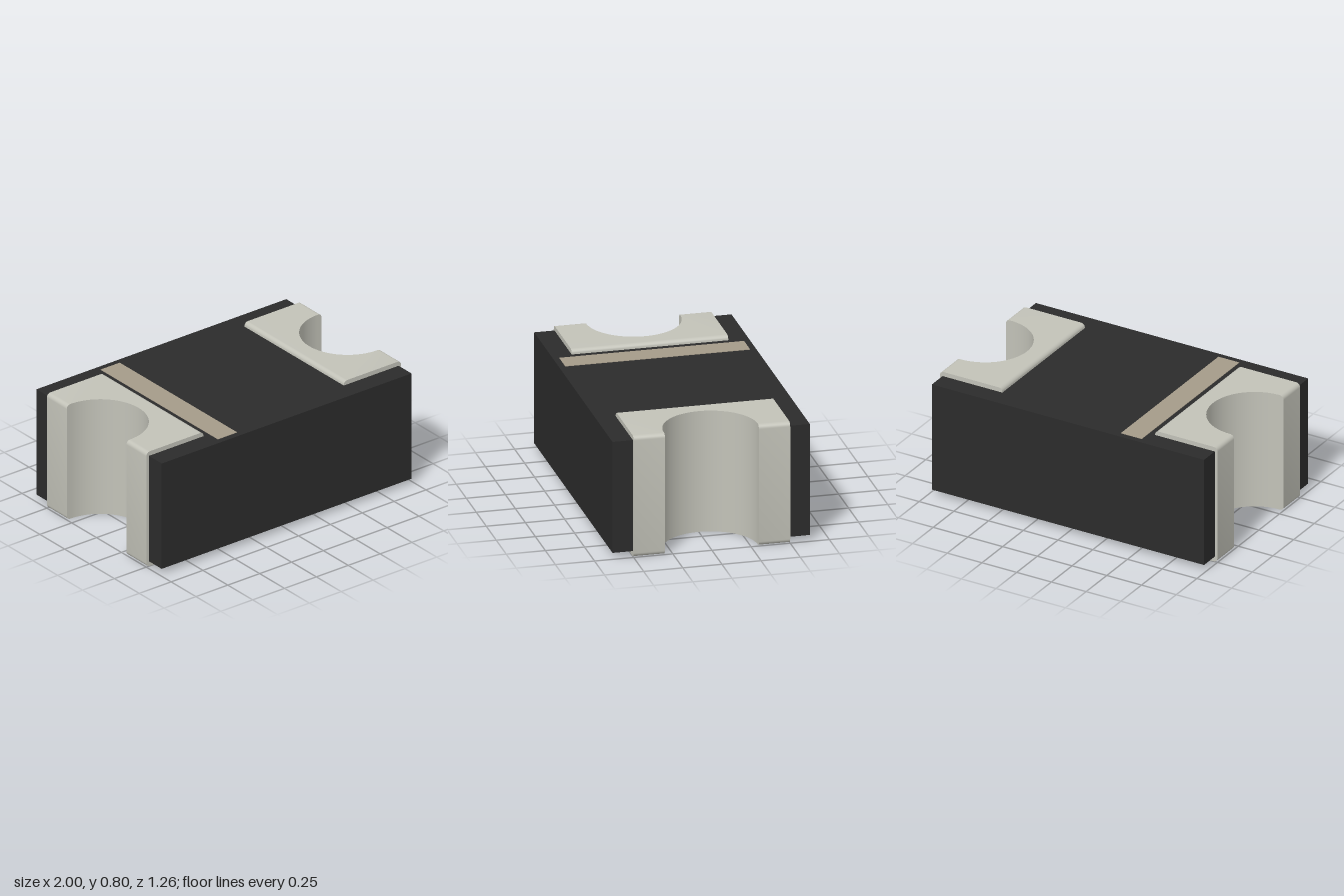
import * as THREE from 'three';
import { toCreasedNormals } from 'three/addons/utils/BufferGeometryUtils.js';

const HEIGHT = 0.8;
const INNER = 0.55, OUTER = 1, HALF_DEPTH = 0.5; // terminal plan
const NOTCH_R = 0.3, NOTCH_X = 0.97;
const FILLET = 0.028, FILLET_STEPS = 6;

const material = (color) => new THREE.MeshStandardMaterial({ color });

// Extrude a plan outline (x, z) upwards
function extrudeUp(shape, height, steps = 1) {
  const geometry = new THREE.ExtrudeGeometry(shape, {
    depth: height, steps, bevelEnabled: false, curveSegments: 40,
  });
  return geometry.rotateX(-Math.PI / 2);
}

// Terminal block with a round notch; its edges along z are rounded top and bottom
function terminalGeometry() {
  const plan = new THREE.Shape();
  plan.moveTo(INNER, -HALF_DEPTH);
  plan.lineTo(OUTER, -HALF_DEPTH);
  plan.lineTo(OUTER, -NOTCH_R);
  plan.absarc(NOTCH_X, 0, NOTCH_R, -Math.PI / 2, Math.PI / 2, true);
  plan.lineTo(OUTER, NOTCH_R);
  plan.lineTo(OUTER, HALF_DEPTH);
  plan.lineTo(INNER, HALF_DEPTH);
  plan.closePath();

  const steps = FILLET_STEPS * 2 + 1;
  const geometry = extrudeUp(plan, steps, steps);
  const pos = geometry.attributes.position;
  for (let i = 0; i < pos.count; i++) {
    // Each level becomes a step of the fillet, counted from the nearer end
    const level = Math.round(pos.getY(i));
    const top = level > FILLET_STEPS;
    const a = ((top ? steps - level : level) / FILLET_STEPS) * Math.PI / 2;
    const rise = FILLET * (1 - Math.cos(a));
    const inset = FILLET * (1 - Math.sin(a));
    const x = pos.getX(i);
    pos.setY(i, top ? HEIGHT - rise : rise);
    if (x > OUTER - 1e-4) pos.setX(i, OUTER - inset);
    else if (x < INNER + 1e-4) pos.setX(i, INNER + inset);
  }
  return toCreasedNormals(geometry, 0.6);
}

// Body block with a pocket at each end, filled by the terminals
function bodyGeometry() {
  const x = 0.98, z = 0.63, px = 0.6, pz = 0.45;
  const plan = new THREE.Shape([
    [-x, -z], [x, -z], [x, -pz], [px, -pz], [px, pz], [x, pz],
    [x, z], [-x, z], [-x, pz], [-px, pz], [-px, -pz], [-x, -pz],
  ].map(([a, b]) => new THREE.Vector2(a, b)));
  return extrudeUp(plan, 0.735).translate(0, 0.035, 0);
}

export function createModel() {
  const model = new THREE.Group();
  model.name = 'chipComponent';

  const add = (name, geometry, mat) => {
    const mesh = new THREE.Mesh(geometry, mat);
    mesh.name = name;
    model.add(mesh);
    return mesh;
  };

  add('body', bodyGeometry(), material(0x2b2b2b));

  // Metal terminals at both ends
  const metal = material(0xc2c2b8);
  const terminal = terminalGeometry();
  add('leftTerminal', terminal, metal);
  add('rightTerminal', terminal, metal).rotation.y = Math.PI;

  // Polarity stripe on the top
  const stripe = new THREE.BoxGeometry(0.15, 0.01, 1.18);
  add('polarityStripe', stripe, material(0xa59b89)).position.set(-0.433, 0.768, 0);

  return model;
}
